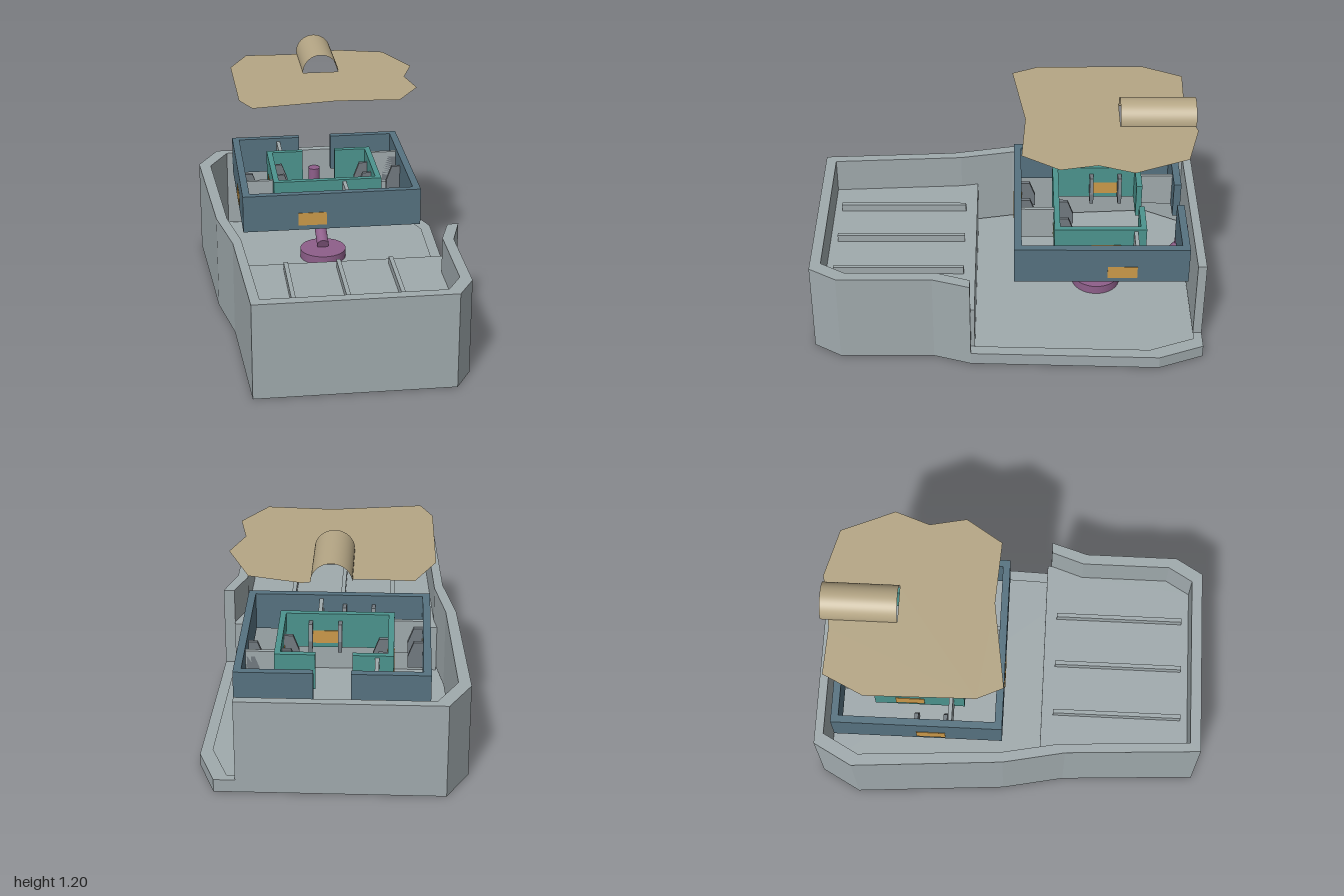
import * as THREE from 'three';

const mat = (color, side = THREE.FrontSide) => new THREE.MeshStandardMaterial({ color, side, flatShading: false });
const STONE = mat(0xa0aaad), BLUE = mat(0x567280), TEAL = mat(0x4c948e), AMBER = mat(0xcc9a4a);
const PINK = mat(0x8e5f8a), IRON = mat(0x727a80), TAN = mat(0xb5a685, THREE.DoubleSide);
const CZ = -0.47; // centre of the upper rings

function add(parent, name, geometry, material, x = 0, y = 0, z = 0) {
  const m = new THREE.Mesh(geometry, material);
  m.name = name;
  m.position.set(x, y, z);
  parent.add(m);
  return m;
}

// Plan outline given as [x, z] pairs
const plan = pts => new THREE.Shape(pts.map(([x, z]) => new THREE.Vector2(x, -z)));

// Upright prism from a plan outline
function prism(pts, y0, y1, hole) {
  const s = plan(pts);
  if (hole) s.holes.push(plan(hole));
  const g = new THREE.ExtrudeGeometry(s, { depth: y1 - y0, bevelEnabled: false });
  return g.rotateX(-Math.PI / 2).translate(0, y0, 0);
}

// Rectangular wall ring with a full-height gap in the back
function ringWall(hx, hz, t, gap) {
  return [[gap, CZ - hz], [hx, CZ - hz], [hx, CZ + hz], [-hx, CZ + hz], [-hx, CZ - hz], [-gap, CZ - hz],
    [-gap, CZ - hz + t], [-hx + t, CZ - hz + t], [-hx + t, CZ + hz - t], [hx - t, CZ + hz - t],
    [hx - t, CZ - hz + t], [gap, CZ - hz + t]];
}

// Window with a carriage behind it: local +z points out of the wall
function gunPort(parent, name, x, z, turn, t) {
  const port = new THREE.Group();
  port.name = name;
  port.position.set(x, 0, z);
  port.rotation.y = turn;
  add(port, 'windowPanel', new THREE.BoxGeometry(0.15, 0.07, t + 0.006), AMBER, 0, 0.47, -t / 2);
  const cheek = new THREE.Shape([[0, 0.42], [0.075, 0.42], [0.075, 0.48], [0.045, 0.56], [0, 0.56]]
    .map(p => new THREE.Vector2(...p)));
  for (const s of [-1, 1]) {
    const g = new THREE.ExtrudeGeometry(cheek, { depth: 0.02, bevelEnabled: false });
    g.translate(0, 0, -0.01).rotateY(Math.PI / 2);
    add(port, 'sideCheek', g, IRON, s * 0.075, 0, -t);
  }
  parent.add(port);
}

export function createModel() {
  const model = new THREE.Group();
  model.name = 'cutawayModel';

  // Base tray with one side and part of the back cut away
  const outerFront = [[0.63, 0.19], [0.57, 0.38], [0.57, 0.86], [0.485, 1], [-0.505, 1], [-0.545, 0.3],
    [-0.61, -0.02], [-0.665, -0.8], [-0.555, -1]];
  const innerFront = [[0.573, 0.19], [0.515, 0.36], [0.515, 0.82], [0.44, 0.945], [-0.46, 0.945], [-0.5, 0.26],
    [-0.555, -0.02], [-0.602, -0.77], [-0.5, -0.955]];
  const outer = [...outerFront, [0.57, -1], [0.66, -0.77]];
  const inner = [...innerFront, [0.51, -0.955], [0.6, -0.725]];
  const tray = new THREE.Group();
  tray.name = 'baseTray';
  model.add(tray);
  add(tray, 'floor', prism(outer, 0, 0.05), STONE);
  add(tray, 'curb', prism(outer, 0.05, 0.067, inner), STONE);
  const cutWall = [...outerFront, [0.465, -1], [0.465, -0.955], ...innerFront.slice().reverse()];
  add(tray, 'outerWall', prism(cutWall, 0.067, 0.5), STONE);

  // Raised front platform with three ridges
  const platform = [[0.573, 0.17], ...innerFront.slice(0, 6), [-0.517, 0.17]];
  add(tray, 'frontPlatform', prism(platform, 0.05, 0.31), STONE);
  for (const x of [-0.273, 0, 0.273])
    add(tray, 'platformRidge', new THREE.BoxGeometry(0.022, 0.04, 0.675), STONE, x, 0.33, 0.568);

  // Outer and inner rooms
  const rooms = new THREE.Group();
  rooms.name = 'rooms';
  model.add(rooms);
  add(rooms, 'outerRoomWall', prism(ringWall(0.47, 0.44, 0.038, 0.09), 0.41, 0.61), BLUE);
  add(rooms, 'innerRoomWall', prism(ringWall(0.29, 0.235, 0.03, 0.09), 0.41, 0.6), TEAL);

  // Partitions between the rooms: [width, depth, x, z]
  for (const [w, d, x, z] of [[0.142, 0.02, -0.361, -0.3], [0.142, 0.02, 0.361, -0.65],
    [0.02, 0.167, 0.09, -0.1515], [0.02, 0.167, -0.21, -0.7885]])
    add(rooms, 'partition', new THREE.BoxGeometry(w, 0.18, d), STONE, x, 0.5, z);

  // Windows with carriages on three sides of each room
  const q = Math.PI / 2;
  gunPort(rooms, 'outerFrontPort', -0.105, CZ + 0.44, 0, 0.038);
  gunPort(rooms, 'outerRightPort', 0.47, -0.575, q, 0.038);
  gunPort(rooms, 'outerLeftPort', -0.47, -0.4, -q, 0.038);
  gunPort(rooms, 'innerFrontPort', 0.06, CZ + 0.235, 0, 0.03);
  gunPort(rooms, 'innerRightPort', 0.29, -0.5, q, 0.03);
  gunPort(rooms, 'innerLeftPort', -0.29, -0.52, -q, 0.03);

  // Bent pipe rising from a round base
  const pipe = new THREE.Group();
  pipe.name = 'bentPipe';
  model.add(pipe);
  add(pipe, 'pipeBase', new THREE.CylinderGeometry(0.127, 0.127, 0.05, 32), PINK, 0, 0.073, CZ);
  const path = [[0.115, -0.47], [0.19, -0.665], [0.19, -0.835], [0.29, -0.917], [0.405, -0.917]]
    .map(([y, z]) => new THREE.Vector3(0, y, z));
  for (let i = 0; i < path.length - 1; i++) {
    const dir = path[i + 1].clone().sub(path[i]);
    const part = add(pipe, 'pipeSection', new THREE.CylinderGeometry(0.033, 0.033, dir.length(), 20), PINK);
    part.position.copy(path[i]).addScaledVector(dir, 0.5);
    part.quaternion.setFromUnitVectors(new THREE.Vector3(0, 1, 0), dir.normalize());
    if (i) add(pipe, 'pipeElbow', new THREE.SphereGeometry(0.033, 20, 12), PINK).position.copy(path[i]);
  }

  // Floating ground sheet, notched under the arched entrance
  const sheet = [[-0.48, -0.7], [-0.38, -0.905], [-0.14, -0.895], [-0.095, -0.9], [-0.095, -0.56], [0.095, -0.56],
    [0.095, -0.935], [0.135, -0.945], [0.385, -0.88], [0.5, -0.61], [0.437, -0.435], [0.475, -0.25], [0.355, -0.065],
    [0.03, -0.085], [-0.41, -0.02], [-0.47, -0.15]];
  const roof = new THREE.Group();
  roof.name = 'groundCover';
  model.add(roof);
  add(roof, 'groundSheet', new THREE.ShapeGeometry(plan(sheet)).rotateX(-q), TAN, 0, 1.1, 0);
  const arch = new THREE.CylinderGeometry(0.096, 0.096, 0.38, 32, 1, true, -q, Math.PI);
  add(roof, 'entranceArch', arch.rotateX(-q), TAN, 0, 1.1, -0.75);

  return model;
}
